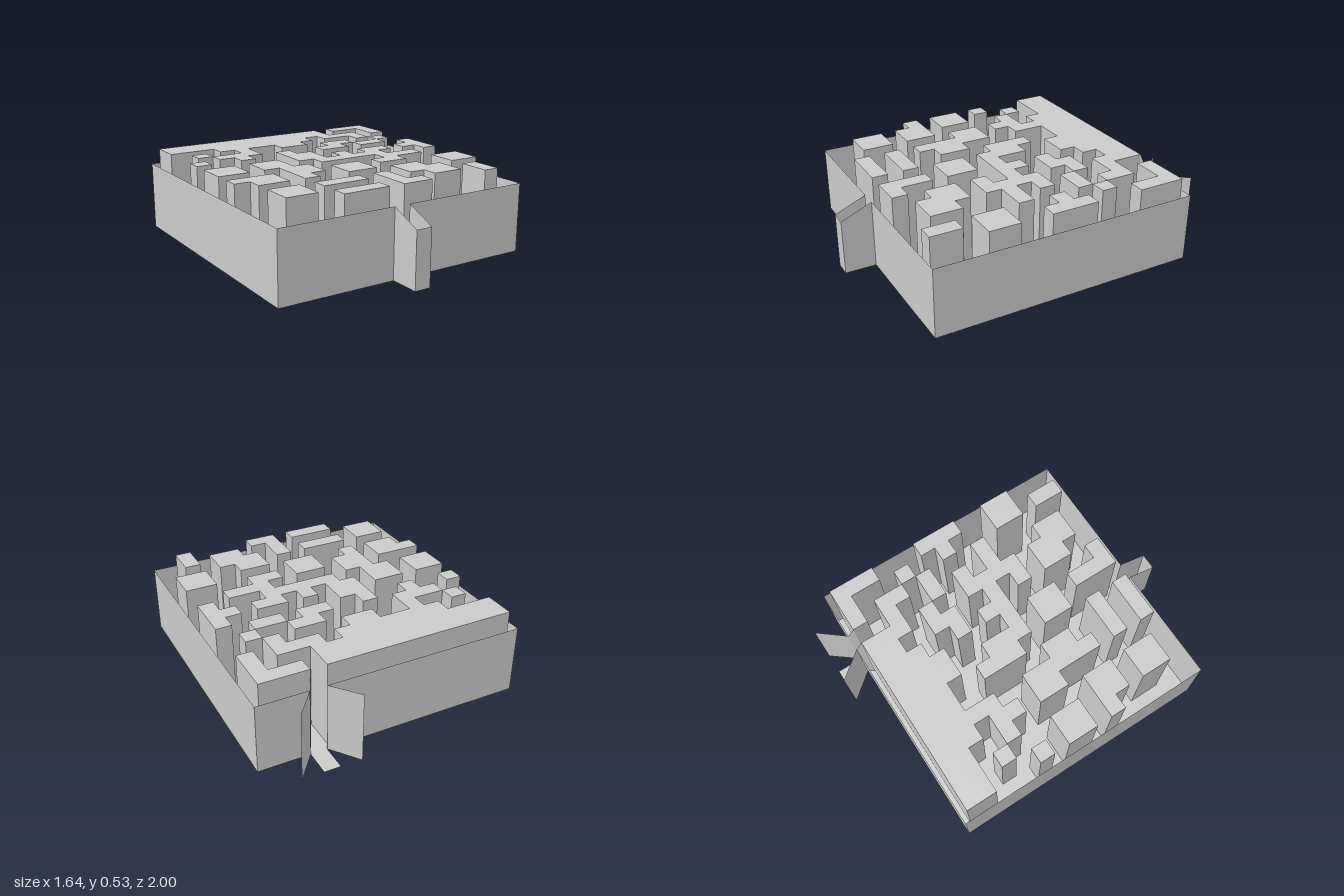
import * as THREE from 'three';

// Plan of the maze: # is a raised hollow block, . is corridor (back row first)
const PLAN = [
  '############.###',
  '############...#',
  '...#######.###.#',
  '.#..#..##....#..',
  '..###.....##..#.',
  '#..#..#..##.##..',
  '......##.......#',
  '##.##.##.#.##.##',
  '##.##..#####...#',
  '....##.....###..',
  '###.##.##.##....',
  '.##.#..##.....##',
  '..........##..##',
  '.##.###.#.###...',
  '.##.....#..##.#.',
  '....###.##....#.',
];
const N = 16, CELL = 0.0975;
const FLOOR = 0.008, WALL = 0.43, TOP = 0.53, LIP = 0.35;
const X0 = -0.82, X1 = 0.82, Z0 = -0.84, Z1 = 0.81;

// Grid lines, with a narrow corridor added around the blocks
const inner = (start) => Array.from({ length: N + 1 }, (_, i) => start + i * CELL);
const xs = [X0, ...inner(-0.78), X1];
const zs = [Z0, ...inner(-0.8), Z1];
const solid = (c, r) => PLAN[r - 1]?.[c - 1] === '#';

const material = new THREE.MeshStandardMaterial({
  color: 0xcccccc, flatShading: true, side: THREE.DoubleSide,
});

// Collects four-cornered faces into one mesh
class Sheets {
  constructor() { this.points = []; }
  quad(a, b, c, d) { this.points.push(...a, ...b, ...c, ...a, ...c, ...d); }
  // horizontal rectangle facing up
  flat(xa, xb, za, zb, y) {
    this.quad([xa, y, za], [xa, y, zb], [xb, y, zb], [xb, y, za]);
  }
  // upright panel between two plan points, facing right of the way from a to b
  panel(xa, za, xb, zb, topA, topB = topA, lowA = FLOOR, lowB = lowA) {
    this.quad([xa, lowA, za], [xa, topA, za], [xb, topB, zb], [xb, lowB, zb]);
  }
  mesh(name) {
    const geometry = new THREE.BufferGeometry();
    geometry.setAttribute('position', new THREE.Float32BufferAttribute(this.points, 3));
    geometry.computeVertexNormals();
    const mesh = new THREE.Mesh(geometry, material);
    mesh.name = name;
    return mesh;
  }
}

export function createModel() {
  const group = new THREE.Group();
  group.name = 'maze';
  const floor = new Sheets(), blockTops = new Sheets(), blockSides = new Sheets();

  // Corridor floor, block tops and block sides from the plan
  for (let r = 0; r < N + 2; r++) {
    for (let c = 0; c < N + 2; c++) {
      const [xa, xb, za, zb] = [xs[c], xs[c + 1], zs[r], zs[r + 1]];
      if (!solid(c, r)) {
        floor.flat(xa, xb, za, zb, FLOOR);
        continue;
      }
      blockTops.flat(xa, xb, za, zb, TOP);
      if (!solid(c, r - 1)) blockSides.panel(xa, za, xb, za, TOP);
      if (!solid(c + 1, r)) blockSides.panel(xb, za, xb, zb, TOP);
      if (!solid(c, r + 1)) blockSides.panel(xb, zb, xa, zb, TOP);
      if (!solid(c - 1, r)) blockSides.panel(xa, zb, xa, za, TOP);
    }
  }

  // Floor strips of the entry chute and the exit
  const inL = -0.1, inR = 0, outL = 0.41, outR = 0.51;
  floor.flat(inL, inR, Z1, 1, FLOOR);
  floor.flat(outL, outR, -1, Z0, FLOOR);

  // Outer wall, open at the entry and the exit
  const outer = new Sheets();
  outer.panel(X0, Z0, outL, Z0, WALL);
  outer.panel(outR, Z0, X1, Z0, WALL);
  outer.panel(X1, Z0, X1, Z1, WALL);
  outer.panel(X1, Z1, inR, Z1, WALL);
  outer.panel(inL, Z1, X0, Z1, WALL);
  outer.panel(X0, Z1, X0, Z0, WALL);

  // Entry chute with sloping sides and a closed end
  const entry = new Sheets();
  entry.panel(inR, Z1, inR, 1, WALL, LIP);
  entry.panel(inR, 1, inL, 1, LIP);
  entry.panel(inL, 1, inL, Z1, LIP, WALL);

  // Exit: short links from the blocks to the wall, then flared wings
  const links = new Sheets(), wings = new Sheets();
  links.panel(xs[13], zs[1], outL, Z0, TOP, WALL);
  links.panel(outR, Z0, xs[14], zs[1], WALL, TOP);
  wings.panel(outL, Z0, outL - 0.13, -1, WALL, WALL, FLOOR, 0);
  wings.panel(outR + 0.13, -1, outR, Z0, WALL, WALL, 0, FLOOR);

  group.add(
    floor.mesh('corridorFloor'), blockTops.mesh('blockTops'), blockSides.mesh('blockSides'),
    outer.mesh('outerWall'), entry.mesh('entryChute'),
    links.mesh('exitLinks'), wings.mesh('exitWings'),
  );
  return group;
}
